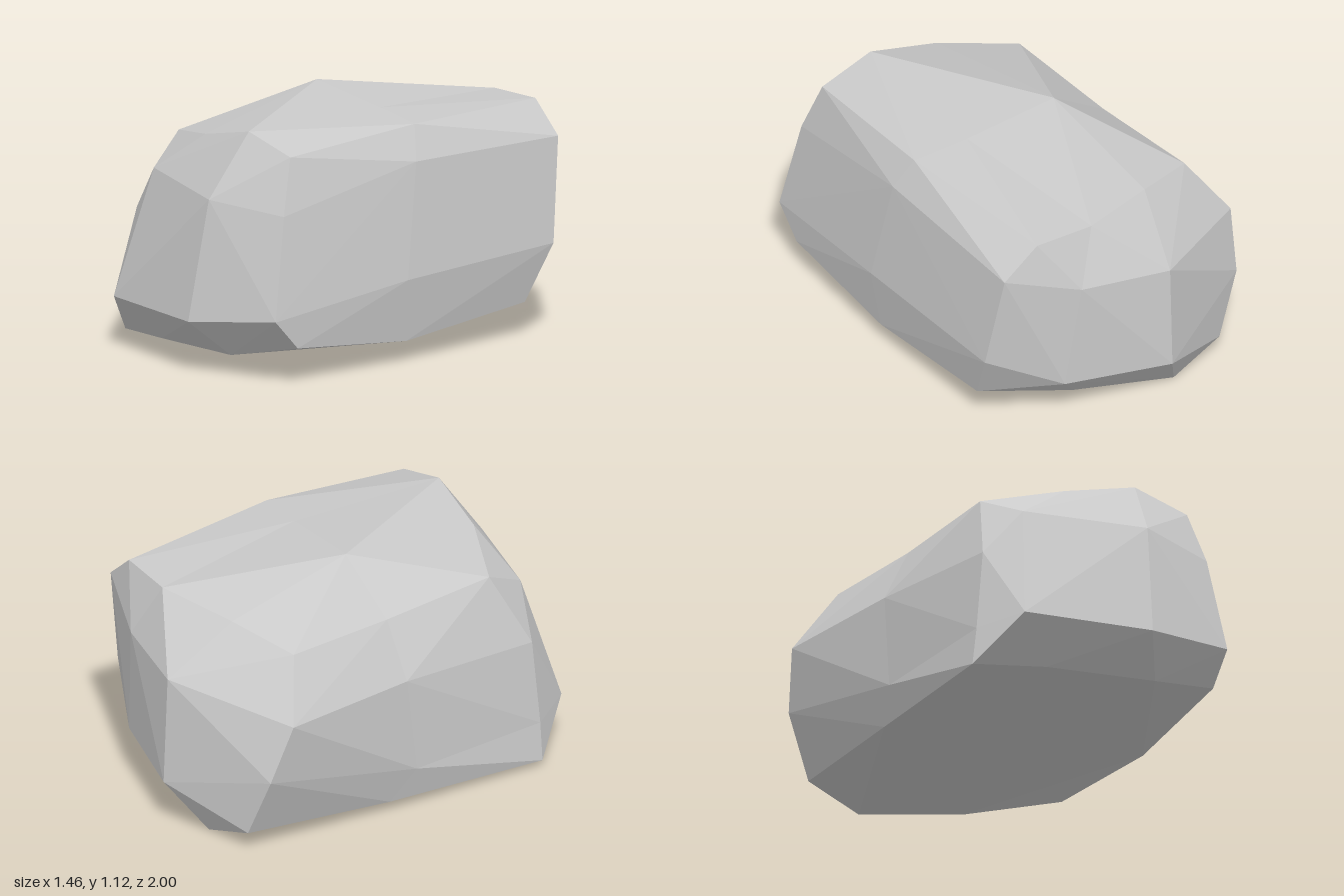
import * as THREE from 'three';

// Three rings of corners around the boulder: along the top from right to left hand
// (-x to +x), down the +x side, back along the underside and up the -x side
const frontRing = [
  [-0.36, 0.94, 0.57], [0, 1.01, 0.69], [0.34, 1.09, 0.70], [0.61, 1.02, 0.67],
  [0.67, 0.77, 0.75], [0.73, 0.31, 0.84], [0.72, 0.17, 0.71], [0.38, 0.09, 0.83],
  [-0.15, 0.06, 0.82], [-0.49, 0.03, 0.77], [-0.47, 0.21, 0.77], [-0.43, 0.60, 0.75],
];
const middleRing = [
  [-0.45, 0.91, 0], [-0.16, 1.12, -0.05], [0.30, 1.08, -0.06], [0.57, 1.06, -0.05],
  [0.65, 0.91, 0], [0.71, 0.39, 0.09], [0.67, 0.10, 0.07], [0.26, 0.05, 0.03],
  [-0.20, 0.03, -0.02], [-0.55, 0.05, -0.04], [-0.58, 0.20, 0.08], [-0.58, 0.65, 0.03],
];
const backRing = [
  [-0.55, 0.91, -0.53], [-0.25, 0.98, -0.68], [0.12, 1.02, -0.83], [0.41, 1.03, -0.84],
  [0.58, 0.89, -0.84], [0.64, 0.42, -0.77], [0.60, 0.16, -0.64], [0.16, 0.05, -0.73],
  [-0.31, 0, -0.83], [-0.58, 0.09, -0.78], [-0.70, 0.38, -0.73], [-0.73, 0.65, -0.63],
];

// Inner corners of the two end faces, upper pair then lower pair
const frontInner = [[-0.25, 0.82, 0.79], [0.31, 0.80, 0.90], [-0.32, 0.24, 0.96], [0.29, 0.25, 1.0]];
const backInner = [[-0.20, 0.74, -0.98], [0.23, 0.77, -0.93], [-0.20, 0.23, -1.0], [0.30, 0.25, -0.90]];

const toVectors = (points) => points.map((p) => new THREE.Vector3(...p));

// Two triangles, split along the diagonal that bulges outwards
function addQuad(out, a, b, c, d) {
  const plane = new THREE.Plane().setFromCoplanarPoints(a, b, c);
  const corners = plane.distanceToPoint(d) <= 0 ? [a, b, c, a, c, d] : [a, b, d, b, c, d];
  out.push(...corners);
}

// End face: a 3 by 3 patch between the ring and the inner corners
function addEnd(out, r, inner, facesBack) {
  const rows = [
    [r[0], r[1], r[2], r[3]],
    [r[11], inner[0], inner[1], r[4]],
    [r[10], inner[2], inner[3], r[5]],
    [r[9], r[8], r[7], r[6]],
  ];
  for (let j = 0; j < 3; j++) {
    for (let i = 0; i < 3; i++) {
      const quad = [rows[j + 1][i], rows[j + 1][i + 1], rows[j][i + 1], rows[j][i]];
      if (facesBack) quad.reverse();
      addQuad(out, ...quad);
    }
  }
}

export function createModel() {
  const group = new THREE.Group();
  const stone = new THREE.MeshStandardMaterial({ color: 0xcacaca, flatShading: true });
  stone.name = 'stone grey';

  const rings = [frontRing, middleRing, backRing].map(toVectors);
  const corners = [];

  // Top, sides and underside
  for (let k = 0; k < 2; k++) {
    for (let i = 0; i < 12; i++) {
      const n = (i + 1) % 12;
      addQuad(corners, rings[k][i], rings[k][n], rings[k + 1][n], rings[k + 1][i]);
    }
  }
  // Front and back ends
  addEnd(corners, rings[0], toVectors(frontInner), false);
  addEnd(corners, rings[2], toVectors(backInner), true);

  const geometry = new THREE.BufferGeometry().setFromPoints(corners);
  geometry.computeVertexNormals();
  const boulder = new THREE.Mesh(geometry, stone);
  boulder.name = 'boulder';
  group.add(boulder);
  return group;
}
